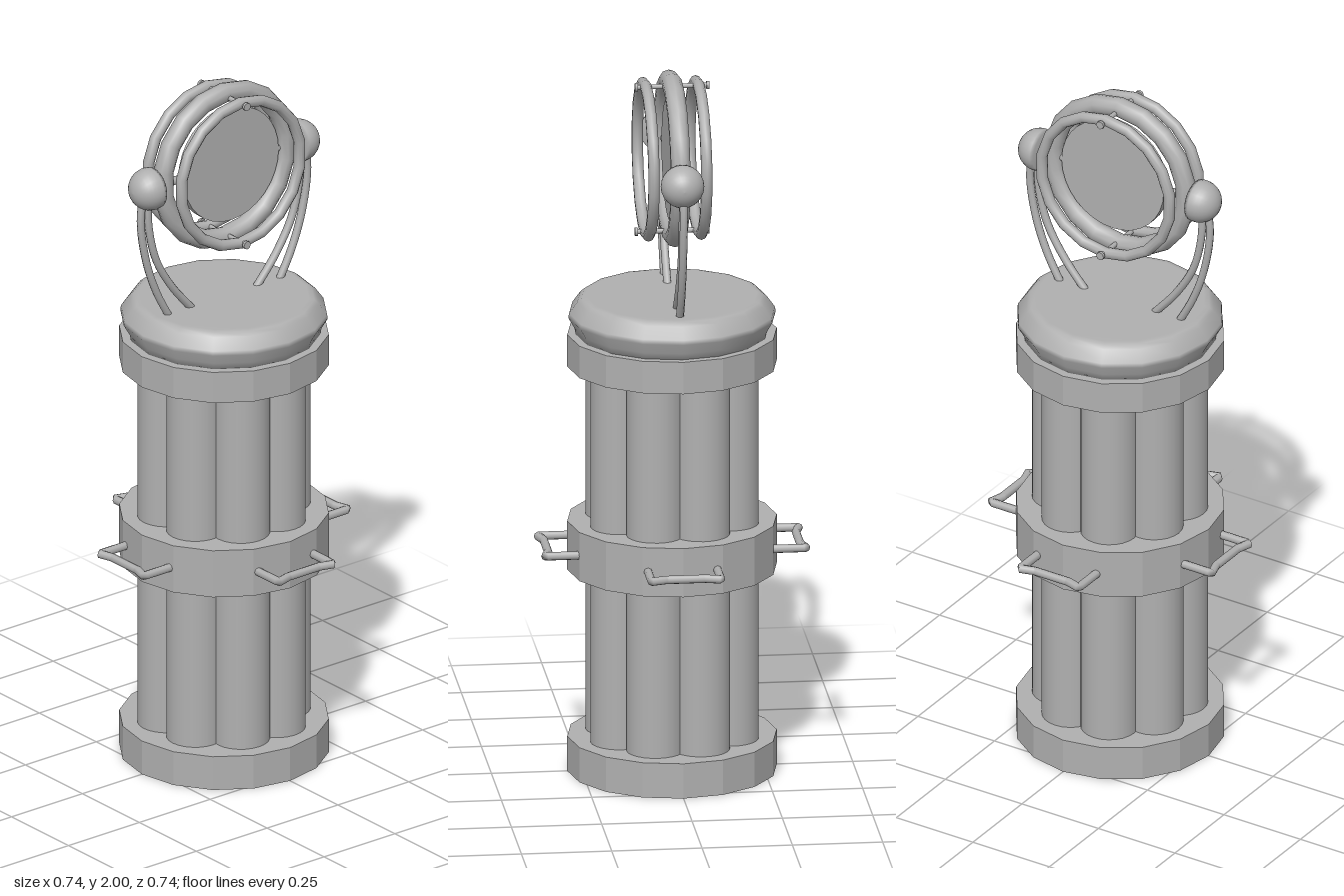
import * as THREE from 'three';

const V = (x, y, z) => new THREE.Vector3(x, y, z);

export function createModel() {
  const model = new THREE.Group();
  const grey = new THREE.MeshStandardMaterial({ color: 0xb0b0b0 });
  const greyFaceted = new THREE.MeshStandardMaterial({ color: 0xb0b0b0, flatShading: true });
  grey.name = 'grey metal';
  greyFaceted.name = 'grey metal faceted';

  const add = (name, geometry, x = 0, y = 0, z = 0, material = grey, parent = model) => {
    const mesh = new THREE.Mesh(geometry, material);
    mesh.name = name;
    mesh.position.set(x, y, z);
    parent.add(mesh);
    return mesh;
  };

  // Sixteen-sided bands around the column
  const band = (name, y0, y1) =>
    add(name, new THREE.CylinderGeometry(0.29, 0.29, y1 - y0, 16), 0, (y0 + y1) / 2, 0, greyFaceted);
  band('baseBand', 0, 0.1);
  band('middleBand', 0.58, 0.72);
  band('topBand', 1.165, 1.257);

  // Fluted column: a bundle of eight overlapping pipes
  const column = new THREE.Group();
  column.name = 'column';
  model.add(column);
  for (let i = 0; i < 8; i++) {
    const a = (i + 0.5) * Math.PI / 4;
    add('columnPipe', new THREE.CylinderGeometry(0.08, 0.08, 1.12, 24, 1, true),
      0.165 * Math.sin(a), 0.63, 0.165 * Math.cos(a), grey, column);
  }

  // Lid with a bulging rim
  const lidProfile = [[0, 1.25], [0.265, 1.25], [0.27, 1.275], [0.287, 1.305], [0.285, 1.318],
    [0.262, 1.35], [0.25, 1.36], [0.235, 1.362], [0, 1.362]];
  add('lid', new THREE.LatheGeometry(lidProfile.map(p => new THREE.Vector2(...p)), 16));

  // Four carrying handles with flared corners
  const handlePath = new THREE.CatmullRomCurve3(
    [V(-0.096, 0, 0.25), V(-0.096, 0, 0.361), V(-0.055, 0, 0.349),
      V(0.055, 0, 0.349), V(0.096, 0, 0.361), V(0.096, 0, 0.25)], false, 'catmullrom', 0);
  for (let i = 0; i < 4; i++) {
    add('handle', new THREE.TubeGeometry(handlePath, 60, 0.012, 8), 0, 0.65, 0)
      .rotation.y = i * Math.PI / 2;
  }

  // Ring head: thick middle ring between two thin ones
  const head = new THREE.Group();
  head.name = 'ringHead';
  head.position.y = 1.755;
  model.add(head);
  const ring = (name, radius, tube, x) =>
    add(name, new THREE.TorusGeometry(radius, tube, 10, 18).rotateZ(Math.PI / 2).rotateY(Math.PI / 2),
      x, 0, 0, grey, head);
  ring('mainRing', 0.217, 0.028, 0);
  ring('leftRing', 0.211, 0.016, 0.073);
  ring('rightRing', 0.211, 0.016, -0.073);

  // Pivoting disc and the pegs holding it
  add('disc', new THREE.CylinderGeometry(0.167, 0.167, 0.025, 32).rotateZ(Math.PI / 2),
    0, 0, -0.016, grey, head);
  for (const s of [1, -1]) {
    add('discPeg', new THREE.CylinderGeometry(0.012, 0.012, 0.06, 8).rotateX(Math.PI / 2),
      0, 0, s * 0.175, grey, head);

    // Cross bolts joining the rings, with a head at each end
    add('crossBolt', new THREE.CylinderGeometry(0.007, 0.007, 0.2, 8).rotateZ(Math.PI / 2),
      0, s * 0.208, 0, grey, head);
    for (const e of [1, -1]) {
      add('boltHead', new THREE.CylinderGeometry(0.012, 0.012, 0.008, 8).rotateZ(Math.PI / 2),
        e * 0.099, s * 0.208, 0, grey, head);
    }

    // Rounded side knob, cut flat where it meets the ring
    const knobProfile = [new THREE.Vector2(0, -0.015)];
    for (let i = 0; i <= 10; i++) {
      const a = -0.253 + (i / 10) * (Math.PI / 2 + 0.253);
      knobProfile.push(new THREE.Vector2(Math.max(0, 0.06 * Math.cos(a)), 0.06 * Math.sin(a)));
    }
    add('sideKnob', new THREE.LatheGeometry(knobProfile, 24).rotateX(s * Math.PI / 2),
      0, 0, s * 0.262, grey, head);

    // Pair of curved arms rising from the lid to the knob
    const arm = (name, points) => add(name, new THREE.TubeGeometry(
      new THREE.CatmullRomCurve3(points.map(([z, y]) => V(0, y, s * z))), 20, 0.011, 8));
    arm('outerArm', [[0.285, 1.75], [0.294, 1.66], [0.275, 1.54], [0.24, 1.44], [0.19, 1.345]]);
    arm('innerArm', [[0.265, 1.75], [0.268, 1.66], [0.242, 1.54], [0.185, 1.44], [0.105, 1.345]]);
  }

  return model;
}
